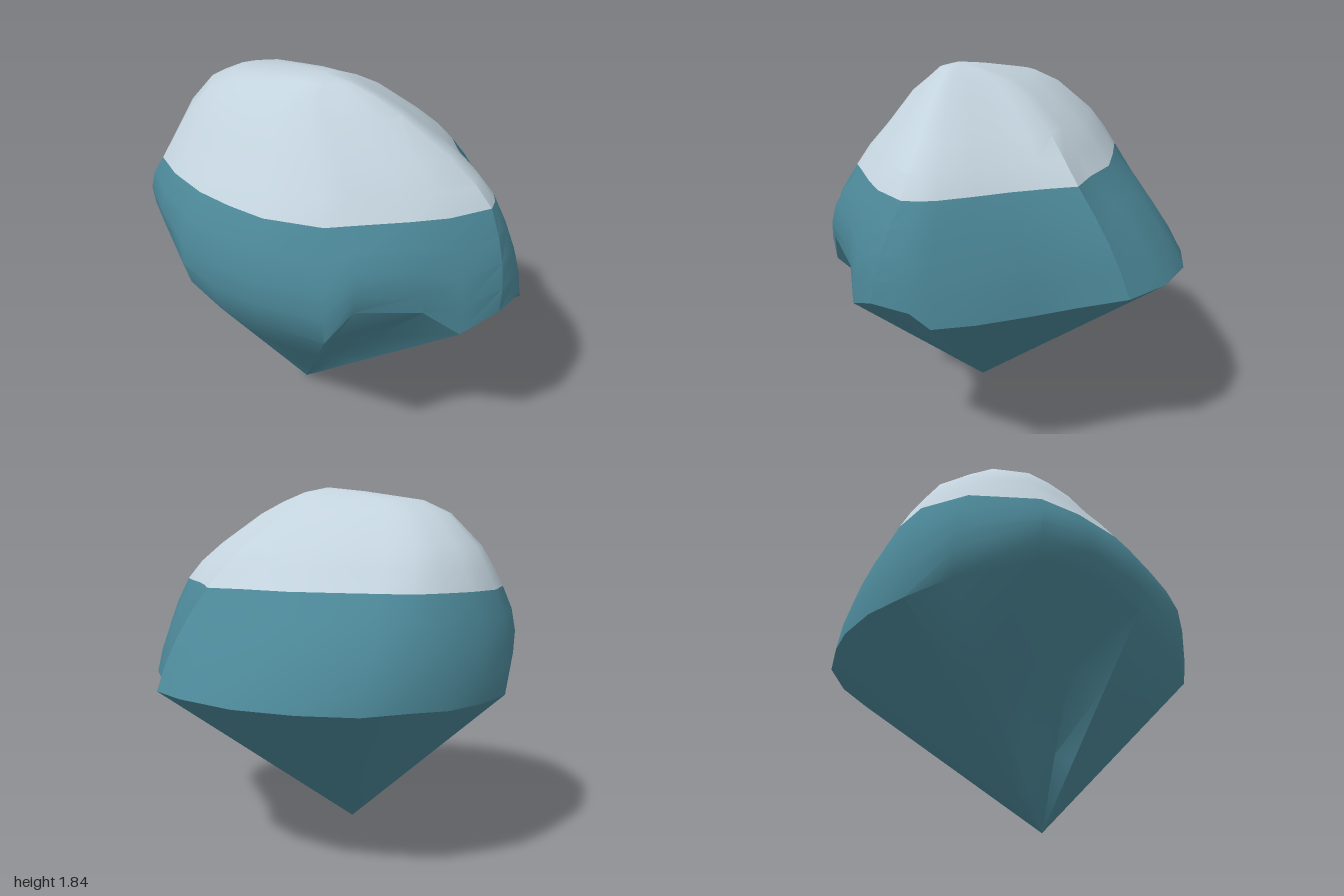
import * as THREE from 'three';
import { toCreasedNormals } from 'three/addons/utils/BufferGeometryUtils.js';

// Columns around the boulder: rim x, y, z, then snow line x, z
const columns = [
  [1.0, 0.9, 0.08, 0.86, 0], [0.98, 0.89, -0.12, 0.83, -0.07], [0.94, 0.82, -0.2, 0.78, -0.13],
  [0.82, 0.83, -0.35, 0.64, -0.23], [0.62, 0.83, -0.5, 0.5, -0.32], [0.45, 0.84, -0.64, 0.36, -0.43],
  [0.3, 0.87, -0.83, 0.25, -0.53], [0.07, 0.88, -0.91, 0.05, -0.49], [-0.22, 0.87, -0.89, -0.2, -0.47],
  [-0.48, 0.86, -0.78, -0.46, -0.37], [-0.7, 0.85, -0.62, -0.6, -0.31], [-0.84, 0.85, -0.42, -0.74, -0.25],
  [-0.93, 0.84, -0.25, -0.82, -0.12], [-0.99, 0.84, -0.03, -0.89, 0.02], [-1, 0.84, 0.2, -0.93, 0.2],
  [-0.92, 0.9, 0.4, -0.87, 0.43], [-0.68, 1.0, 0.68, -0.65, 0.67], [-0.45, 1.0, 0.78, -0.45, 0.74],
  [-0.2, 0.9, 0.88, -0.2, 0.78], [0, 0.84, 0.87, 0, 0.775], [0.25, 0.87, 0.85, 0.2, 0.75],
  [0.54, 0.84, 0.73, 0.45, 0.63], [0.63, 1.0, 0.64, 0.52, 0.54], [0.8, 0.95, 0.38, 0.68, 0.34],
  [0.92, 0.83, 0.26, 0.78, 0.2],
];
const SNOW_Y = 1.34;
const peak = new THREE.Vector3(0.08, 1.84, 0.25);
const tip = new THREE.Vector3(-0.1, 0, 0.25);

// Dome rings: y, centre x, centre z, scale x, scale z of the snow line
const domeRings = [
  [1.815, 0.03, 0.24, 0.2, 0.18], [1.765, -0.085, 0.22, 0.46, 0.34], [1.7, -0.1, 0.2, 0.61, 0.5],
  [1.54, -0.08, 0.15, 0.83, 0.74], [1.44, -0.05, 0.135, 0.93, 0.88],
];

function buildRows() {
  const rows = [columns.map(() => peak)];
  for (const [y, cx, cz, sx, sz] of domeRings) {
    rows.push(columns.map(([, , , x, z]) =>
      new THREE.Vector3(cx + (x + 0.035) * sx, y, cz + (z - 0.125) * sz)));
  }
  // Belt from the snow line down to the rim, bulging outwards
  for (let i = 0; i <= 4; i++) {
    const t = i / 4;
    rows.push(columns.map(([rx, ry, rz, sx, sz]) => {
      const x = THREE.MathUtils.lerp(sx, rx, t);
      const z = THREE.MathUtils.lerp(sz, rz, t);
      const bulge = 4 * t * (1 - t) * (0.033 + 0.045 * Math.max(0, z)) / Math.hypot(x, z - 0.1);
      return new THREE.Vector3(x + x * bulge, THREE.MathUtils.lerp(SNOW_Y, ry, t), z + (z - 0.1) * bulge);
    }));
  }
  // Tapering underside with a shallow hollow at the front
  for (const t of [0.33, 0.67, 1]) {
    rows.push(columns.map(([x, y, z], j) => {
      const p = new THREE.Vector3(x, y, z).lerp(tip, t);
      const hollow = [16, 17].includes(j) ? 0.2 * t * (1 - t) : 0;
      p.x += hollow;
      p.z -= hollow;
      return p;
    }));
  }
  return rows;
}

function createModel() {
  const rows = buildRows();
  const n = columns.length;
  const positions = [];
  let snowEnd = 0;
  for (let i = 0; i < rows.length - 1; i++) {
    for (let j = 0; j < n; j++) {
      const k = (j + 1) % n;
      const a = rows[i][j], b = rows[i + 1][j], c = rows[i + 1][k], d = rows[i][k];
      const corners = i === 0 ? [a, b, c] : i === rows.length - 2 ? [a, b, d] : [a, b, d, b, c, d];
      for (const p of corners) positions.push(p.x, p.y, p.z);
    }
    if (i === domeRings.length) snowEnd = positions.length;
  }
  const whole = new THREE.BufferGeometry();
  whole.setAttribute('position', new THREE.Float32BufferAttribute(positions, 3));
  const smooth = toCreasedNormals(whole, 0.6);

  // Split at the snow line, keeping the shading continuous
  const group = new THREE.Group();
  const addPart = (name, color, start, end) => {
    const geometry = new THREE.BufferGeometry();
    for (const key of ['position', 'normal']) {
      geometry.setAttribute(key, new THREE.BufferAttribute(smooth.getAttribute(key).array.slice(start, end), 3));
    }
    const mesh = new THREE.Mesh(geometry, new THREE.MeshStandardMaterial({ color }));
    mesh.name = name;
    group.add(mesh);
  };
  addPart('snowCap', 0xc3d3dd, 0, snowEnd);
  addPart('boulderBody', 0x4b8696, snowEnd, positions.length);
  group.name = 'boulder';
  return group;
}

export { createModel };
